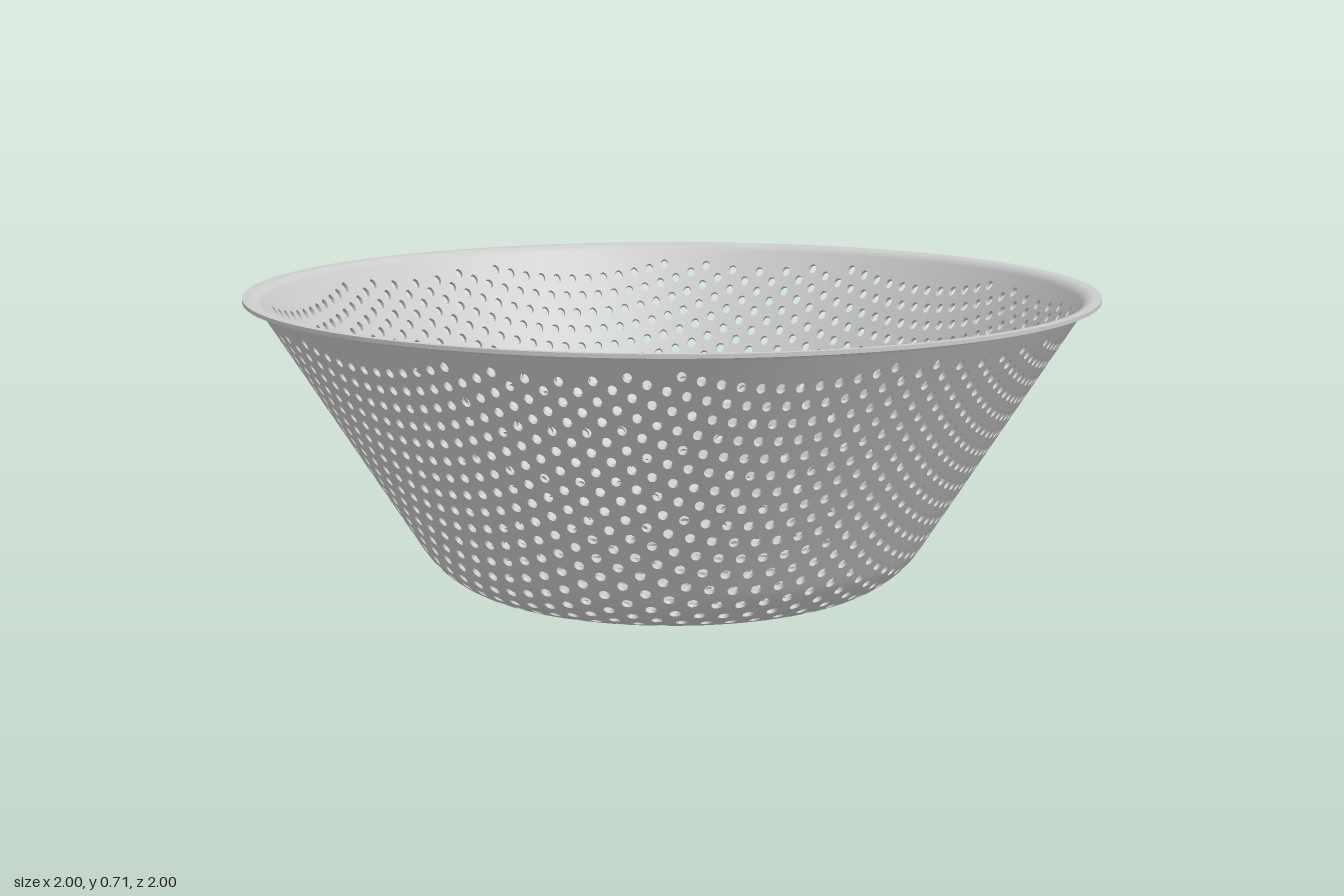
import * as THREE from 'three';

// Bowl section, walked by arc length: flat base, rounded corner, sloping wall, small fillet, flat lip
const BASE = 0.385, CORNER = 0.25, TILT = 1.0, WALL = 0.68, FILLET = 0.025, THICK = 0.009;
const S1 = BASE, S2 = S1 + CORNER * TILT, S3 = S2 + WALL, S4 = S3 + FILLET * TILT;

function section(s) {
  if (s < S1) return [s, 0, 0];
  const a = Math.min((s - S1) / CORNER, TILT);
  let r = BASE + CORNER * Math.sin(a), y = CORNER * (1 - Math.cos(a));
  if (s < S2) return [r, y, a];
  const w = Math.min(s - S2, WALL);
  r += w * Math.cos(TILT);
  y += w * Math.sin(TILT);
  if (s < S3) return [r, y, TILT];
  const b = TILT - Math.min((s - S3) / FILLET, TILT);
  r += FILLET * (Math.sin(TILT) - Math.sin(b));
  y += FILLET * (Math.cos(b) - Math.cos(TILT));
  return [r + Math.max(s - S4, 0), y, b];
}
const S_END = S4 + 1 - section(S4)[0];

// Bend a point of the flat blank (u, v) onto the bowl; t goes from the outer to the inner skin
function bend([u, v], t = 0) {
  const s = Math.hypot(u, v), c = s ? u / s : 1, d = s ? v / s : 0;
  const [r, y, a] = section(s);
  const n = new THREE.Vector3(-Math.sin(a) * c, Math.cos(a), -Math.sin(a) * d);
  return { p: new THREE.Vector3(r * c, y, r * d).addScaledVector(n, t), n };
}

// Collects triangles with smooth normals
class Sheet {
  positions = [];
  normals = [];
  tri(points, norms) {
    points.forEach((p, i) => {
      this.positions.push(p.x, p.y, p.z);
      this.normals.push(norms[i].x, norms[i].y, norms[i].z);
    });
  }
  // Both skins of a triangle of the blank
  skins(a, b, c) {
    const out = [a, b, c].map((q) => bend(q));
    const inn = [a, c, b].map((q) => bend(q, THICK));
    this.tri(out.map((o) => o.p), out.map((o) => o.n.clone().negate()));
    this.tri(inn.map((o) => o.p), inn.map((o) => o.n));
  }
  // Cut edge of the sheet from a to b, facing the given normals
  edge(a, b, na, nb) {
    const [a0, b0, a1, b1] = [bend(a).p, bend(b).p, bend(a, THICK).p, bend(b, THICK).p];
    this.tri([a0, b0, b1], [na, nb, nb]);
    this.tri([a0, b1, a1], [na, nb, na]);
  }
  mesh(name, material) {
    const g = new THREE.BufferGeometry();
    g.setAttribute('position', new THREE.Float32BufferAttribute(this.positions, 3));
    g.setAttribute('normal', new THREE.Float32BufferAttribute(this.normals, 3));
    const m = new THREE.Mesh(g, material);
    m.name = name;
    return m;
  }
}

const PITCH = 0.057, HOLE = 0.0135, HOLE_LIMIT = 1.278, BORDER = 1.312, SIDES = 12;
const ring = (u, v, r, n, start) => Array.from({ length: n }, (_, i) => {
  const a = start + (i / n) * Math.PI * 2;
  return [u + r * Math.cos(a), v + r * Math.sin(a)];
});
const clampToBorder = ([u, v]) => {
  const k = Math.min(1, BORDER / Math.hypot(u, v));
  return [u * k, v * k];
};

// One hexagonal cell with a round hole
function holedCell(sheet, u, v) {
  const hex = ring(u, v, PITCH / Math.sqrt(3), 6, Math.PI / 6);
  const hole = ring(u, v, HOLE, SIDES, Math.PI / 6);
  for (let j = 0; j < 6; j++) {
    const c0 = hex[j], c1 = hex[(j + 1) % 6];
    const h0 = hole[2 * j], h1 = hole[2 * j + 1], h2 = hole[(2 * j + 2) % SIDES];
    sheet.skins(c0, h1, h0);
    sheet.skins(c0, c1, h1);
    sheet.skins(c1, h2, h1);
  }
  const centre = bend([u, v]).p;
  const norms = hole.map((h) => centre.clone().sub(bend(h).p).normalize());
  for (let i = 0; i < SIDES; i++) {
    const k = (i + 1) % SIDES;
    sheet.edge(hole[i], hole[k], norms[i], norms[k]);
  }
}

// A cell without hole, trimmed to the border circle
function solidCell(sheet, u, v) {
  const raw = ring(u, v, PITCH / Math.sqrt(3), 6, Math.PI / 6);
  if (raw.every(([x, y]) => Math.hypot(x, y) >= BORDER)) return;
  const hex = raw.map(clampToBorder);
  const mid = [0, 1].map((k) => hex.reduce((sum, q) => sum + q[k], 0) / 6);
  for (let j = 0; j < 6; j++) sheet.skins(mid, hex[j], hex[(j + 1) % 6]);
}

export function createModel() {
  const group = new THREE.Group();
  group.name = 'colander';
  const material = new THREE.MeshStandardMaterial({ color: 0xcccccc, side: THREE.DoubleSide });

  // Perforated bowl: staggered rows of holes
  const bowl = new Sheet();
  const rowStep = PITCH * Math.sqrt(3) / 2;
  const rows = Math.ceil(1.4 / rowStep), cols = Math.ceil(1.4 / PITCH);
  for (let j = -rows; j <= rows; j++) {
    for (let i = -cols; i <= cols; i++) {
      const u = (i + (j & 1 ? 0.5 : 0)) * PITCH, v = j * rowStep;
      if (Math.hypot(u, v) < HOLE_LIMIT) holedCell(bowl, u, v);
      else solidCell(bowl, u, v);
    }
  }
  group.add(bowl.mesh('perforatedBowl', material));

  // Plain lip curling out to a flat rim
  const lip = new Sheet();
  const steps = [BORDER - 0.002, S3, S3 + (S4 - S3) / 3, S3 + (S4 - S3) * 2 / 3, S4, S_END];
  const SEG = 180;
  const circles = steps.map((s) => ring(0, 0, s, SEG, 0));
  for (let i = 0; i < SEG; i++) {
    const k = (i + 1) % SEG;
    for (let j = 0; j < steps.length - 1; j++) {
      const a = circles[j], b = circles[j + 1];
      lip.skins(a[i], b[i], b[k]);
      lip.skins(a[i], b[k], a[k]);
    }
    const rim = circles[steps.length - 1];
    const outward = (q) => new THREE.Vector3(q[0], 0, q[1]).normalize();
    lip.edge(rim[k], rim[i], outward(rim[k]), outward(rim[i]));
  }
  group.add(lip.mesh('rimLip', material));
  return group;
}
